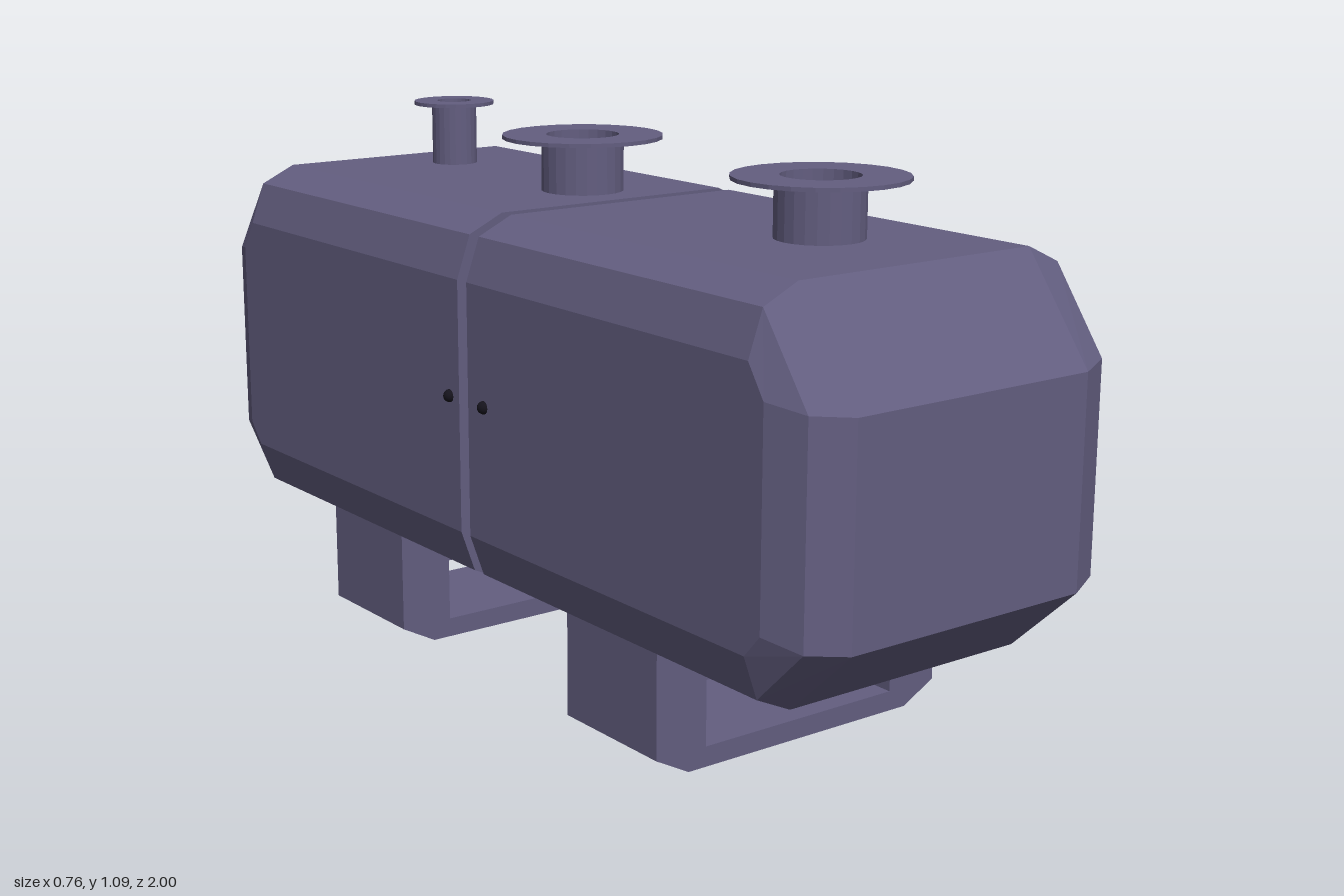
import * as THREE from 'three';

const paint = new THREE.MeshStandardMaterial({ color: 0x635e80, flatShading: true });
const dark = new THREE.MeshStandardMaterial({ color: 0x15131c });
const CX = 0.005; // centre line of the tank body

// Half tank: side profiles lofted across the width, shrinking toward the flanks
function halfTankGeometry() {
  // x, end z, shoulder bottom/top y, end face bottom/top y
  const flank = [
    [0.27, 1, 0.21, 0.955, 0.35, 0.755],
    [0.345, 0.965, 0.245, 0.92, 0.358, 0.762],
    [0.375, 0.89, 0.33, 0.835, 0.375, 0.775],
  ];
  const stations = [...flank].reverse().map(([x, ...r]) => [-x, ...r]).concat(flank);
  const loops = stations.map(([x, zEnd, yb, yt, lo, hi]) =>
    [[0.016, yb], [0.85, yb], [zEnd, lo], [zEnd, hi], [0.85, yt], [0.016, yt]].map(([z, y]) => [x, y, z]));
  const pos = [];
  const tri = (a, b, c) => pos.push(...a, ...b, ...c);
  for (let i = 0; i < loops.length - 1; i++) {
    for (let k = 0; k < 6; k++) {
      const n = (k + 1) % 6;
      const a = loops[i][k], b = loops[i][n], c = loops[i + 1][n], d = loops[i + 1][k];
      tri(a, d, c);
      tri(a, c, b);
    }
  }
  const first = loops[0], last = loops[loops.length - 1];
  for (let k = 1; k < 5; k++) {
    tri(first[0], first[k], first[k + 1]);
    tri(last[0], last[k + 1], last[k]);
  }
  const g = new THREE.BufferGeometry();
  g.setAttribute('position', new THREE.Float32BufferAttribute(pos, 3));
  g.computeVertexNormals();
  return g;
}

// Foot: chamfered frame with a rectangular opening
function footGeometry() {
  const outline = [[-0.27, 0], [0.27, 0], [0.345, 0.04], [0.345, 0.245], [-0.345, 0.245], [-0.345, 0.04]];
  const opening = [[-0.23, 0.04], [-0.23, 0.17], [0.23, 0.17], [0.23, 0.04]];
  const toVec = ([x, y]) => new THREE.Vector2(x, y);
  const shape = new THREE.Shape(outline.map(toVec));
  shape.holes.push(new THREE.Path(opening.map(toVec)));
  const g = new THREE.ExtrudeGeometry(shape, { depth: 0.275, bevelEnabled: false });
  return g.translate(0, 0, -0.1375);
}

// Open pipe with a thin flange at its end, rising from y = 0
function nozzleGeometry(height, bore, pipe, flange) {
  const t = 0.008;
  const profile = [[pipe, -0.01], [pipe, height - t], [flange, height - t], [flange, height],
    [bore, height], [bore, 0.002], [0, 0.002]];
  return new THREE.LatheGeometry(profile.map(([r, y]) => new THREE.Vector2(r, y)), 24);
}

export function createModel() {
  const model = new THREE.Group();
  const add = (name, geometry, material, x, y, z) => {
    const mesh = new THREE.Mesh(geometry, material);
    mesh.name = name;
    mesh.position.set(x, y, z);
    model.add(mesh);
    return mesh;
  };

  // Tank halves, separated by a narrow gap
  const half = halfTankGeometry();
  add('frontTank', half, paint, CX, 0, 0);
  add('backTank', half, paint, CX, 0, 0).rotation.y = Math.PI;

  // Feet
  const foot = footGeometry();
  add('frontFoot', foot, paint, CX, 0, 0.4375);
  add('backFoot', foot, paint, CX, 0, -0.4325);

  // Manholes and vent on top
  const manhole = nozzleGeometry(0.115, 0.075, 0.085, 0.165);
  add('frontManhole', manhole, paint, 0.035, 0.955, 0.565);
  add('backManhole', manhole, paint, 0.035, 0.955, -0.165);
  add('vent', nozzleGeometry(0.138, 0.037, 0.049, 0.088), paint, 0.05, 0.955, -0.675);

  // Drains underneath
  const drain = nozzleGeometry(0.084, 0.037, 0.049, 0.088);
  add('frontDrain', drain, paint, 0.05, 0.21, 0.16).rotation.x = Math.PI;
  add('backDrain', drain, paint, 0.05, 0.21, -0.675).rotation.x = Math.PI;

  // Small sensor studs on the right flank
  const stud = new THREE.SphereGeometry(0.013, 16, 10);
  for (const z of [0.07, -0.05]) add('sensorStud', stud, dark, -0.37, 0.6, z);

  return model;
}
